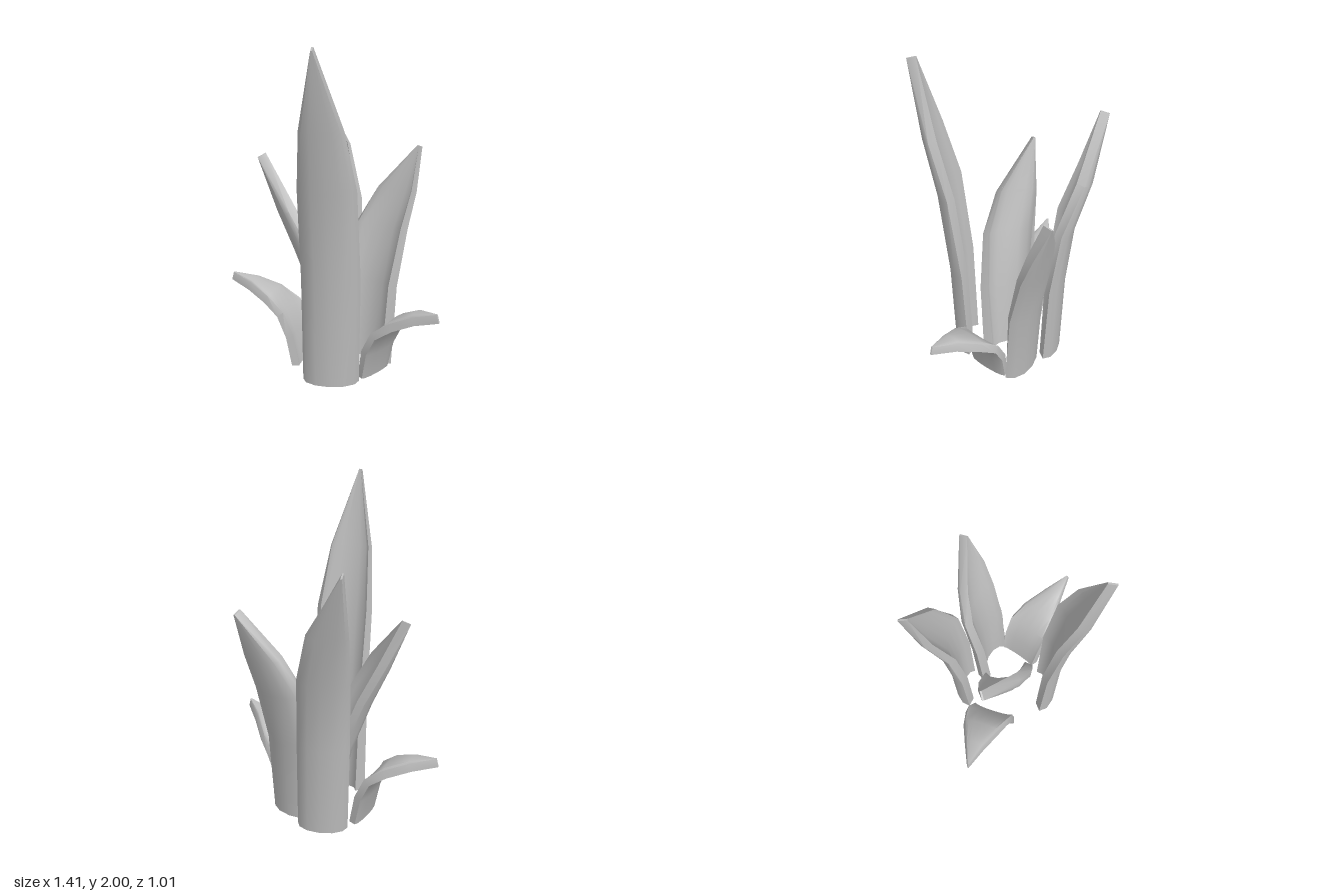
import * as THREE from 'three';
import { toCreasedNormals } from 'three/addons/utils/BufferGeometryUtils.js';

const SEGMENTS = 6; // facets around each curved leaf
const UP = new THREE.Vector3(0, 1, 0);

// Thick curved leaf. Each station is [x, y, z, halfWidth, bow]; x, y, z is the middle
// between the inner edges. The back faces (outX, outZ); bow is how far it curves that way.
// The rims slope inwards by the bevel at the base and straighten towards the tip.
function leafGeometry(outX, outZ, thickness, bevel, stations) {
  const out = new THREE.Vector3(outX, 0, outZ).normalize();
  const across = new THREE.Vector3().crossVectors(UP, out);
  const centres = stations.map(([x, y, z]) => new THREE.Vector3(x, y, z));
  const last = stations.length - 1;
  const row = SEGMENTS + 1;
  const ring = row * 2;
  const positions = [];
  const index = [];

  stations.forEach(([, , , w, bow], i) => {
    const along = i === 0
      ? UP.clone()
      : centres[Math.min(i + 1, last)].clone().sub(centres[i - 1]).normalize();
    const back = new THREE.Vector3().crossVectors(across, along).normalize();
    const slope = bevel * (1 - i / last);
    const addArc = (halfWidth, edge, middle, reverse) => {
      for (let k = 0; k < row; k++) {
        const angle = Math.PI * (reverse ? SEGMENTS - k : k) / SEGMENTS;
        const p = centres[i].clone()
          .addScaledVector(across, Math.cos(angle) * halfWidth)
          .addScaledVector(back, THREE.MathUtils.lerp(edge, middle, Math.sin(angle)));
        positions.push(p.x, p.y, p.z);
      }
    };
    addArc(w, thickness - slope * 0.55, thickness + bow, false); // outer skin
    addArc(Math.max(w - slope, w * 0.6), 0, bow, true); // inner skin
  });

  // Walls between neighbouring rings
  for (let i = 0; i < last; i++) {
    for (let j = 0; j < ring; j++) {
      const a = i * ring + j, b = i * ring + (j + 1) % ring;
      index.push(a, a + ring, b, b, a + ring, b + ring);
    }
  }
  // Base and tip caps
  const top = last * ring;
  for (let k = 0; k < SEGMENTS; k++) {
    const inner = ring - 1 - k;
    index.push(k, k + 1, inner, k + 1, inner - 1, inner);
    index.push(top + k, top + inner, top + k + 1, top + k + 1, top + inner, top + inner - 1);
  }

  const geometry = new THREE.BufferGeometry();
  geometry.setAttribute('position', new THREE.Float32BufferAttribute(positions, 3));
  geometry.setIndex(index);
  return toCreasedNormals(geometry, 0.75);
}

export function createModel() {
  const plant = new THREE.Group();
  plant.name = 'plant';
  const leafGrey = new THREE.MeshStandardMaterial({ color: 0xbbbbbb });
  leafGrey.name = 'leafGrey';

  const addLeaf = (name, outX, outZ, thickness, bevel, stations) => {
    const mesh = new THREE.Mesh(leafGeometry(outX, outZ, thickness, bevel, stations), leafGrey);
    mesh.name = name;
    plant.add(mesh);
  };

  // Four upright leaves around the hollow middle
  addLeaf('frontTallLeaf', 0.55, 0.83, 0.055, 0.055, [
    [0.083, 0, 0.178, 0.166, 0.07],
    [0.098, 0.65, 0.195, 0.172, 0.07],
    [0.122, 1.2, 0.255, 0.168, 0.065],
    [0.16, 1.56, 0.345, 0.125, 0.045],
    [0.195, 2.0, 0.46, 0.005, 0],
  ]);
  addLeaf('backLeaf', -0.18, -0.98, 0.055, 0.055, [
    [0.083, 0, -0.145, 0.168, 0.07],
    [0.085, 0.5, -0.175, 0.175, 0.07],
    [0.1, 0.85, -0.255, 0.172, 0.065],
    [0.15, 1.07, -0.34, 0.125, 0.045],
    [0.235, 1.33, -0.455, 0.005, 0],
  ]);
  addLeaf('backRightLeaf', -0.55, -0.83, 0.055, 0.055, [
    [-0.147, 0, -0.175, 0.152, 0.065],
    [-0.165, 0.55, -0.185, 0.158, 0.065],
    [-0.205, 0.98, -0.22, 0.155, 0.06],
    [-0.305, 1.3, -0.285, 0.12, 0.045],
    [-0.445, 1.66, -0.32, 0.005, 0],
  ]);
  addLeaf('frontRightLeaf', -0.62, 0.78, 0.055, 0.055, [
    [0.02, 0, -0.05, 0.162, 0.06],
    [-0.04, 0.45, 0.01, 0.17, 0.065],
    [-0.145, 0.78, 0.08, 0.163, 0.06],
    [-0.265, 1.01, 0.118, 0.128, 0.045],
    [-0.45, 1.29, 0.142, 0.005, 0],
  ]);

  // Two short leaves arching out to the sides
  addLeaf('leftArchedLeaf', 1, 0, 0.052, 0.015, [
    [0.188, 0, -0.055, 0.13, 0.012],
    [0.225, 0.18, -0.055, 0.14, 0.014],
    [0.295, 0.31, -0.055, 0.14, 0.01],
    [0.41, 0.393, -0.05, 0.113, -0.02],
    [0.545, 0.458, -0.035, 0.06, -0.022],
    [0.69, 0.5, -0.02, 0.005, 0],
  ]);
  addLeaf('rightArchedLeaf', -0.95, 0.3, 0.052, 0.015, [
    [-0.21, 0, 0.06, 0.135, 0.012],
    [-0.25, 0.19, 0.065, 0.14, 0.014],
    [-0.32, 0.33, 0.075, 0.14, 0.01],
    [-0.43, 0.408, 0.105, 0.113, -0.02],
    [-0.56, 0.463, 0.15, 0.06, -0.022],
    [-0.69, 0.5, 0.2, 0.005, 0],
  ]);

  return plant;
}
